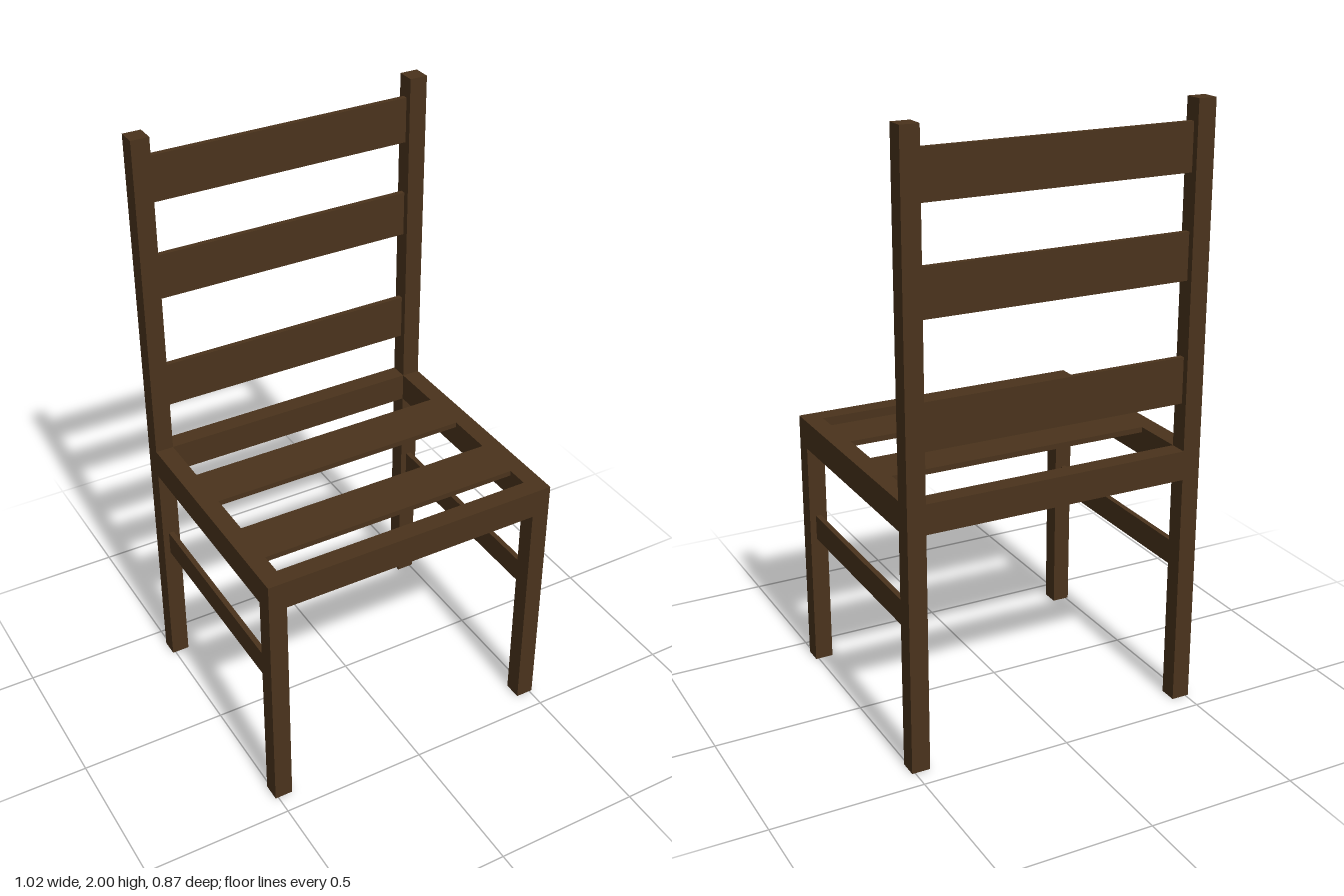
import * as THREE from 'three';

export function createModel() {
  const chair = new THREE.Group();
  chair.name = 'chair';
  const wood = new THREE.MeshStandardMaterial({ color: 0x4a331c, flatShading: true });

  // Box given by its extents along each axis
  function bar(name, [x0, x1], [y0, y1], [z0, z1]) {
    const mesh = new THREE.Mesh(new THREE.BoxGeometry(x1 - x0, y1 - y0, z1 - z0), wood);
    mesh.position.set((x0 + x1) / 2, (y0 + y1) / 2, (z0 + z1) / 2);
    mesh.name = name;
    chair.add(mesh);
  }

  const inX = 0.449, outX = 0.51;      // inner and outer faces of the legs
  const inZ = 0.372, outZ = 0.433;
  const seatY = [0.795, 0.893];
  const span = [-inX, inX];
  const thin = 0.009;                  // half thickness of slats and rungs

  // Legs, side rails and side rungs
  for (const [side, s] of [['left', 1], ['right', -1]]) {
    const legX = s > 0 ? [inX, outX] : [-outX, -inX];
    const midX = s * (inX + outX) / 2;
    bar(side + 'FrontLeg', legX, [0, seatY[1]], [inZ, outZ]);
    bar(side + 'BackPost', legX, [0, 2], [-outZ, -inZ]);
    bar(side + 'SeatRail', legX, seatY, [-inZ, inZ]);
    bar(side + 'Rung', [midX - thin, midX + thin], [0.46, 0.545], [-inZ, inZ]);
  }

  // Front and back seat rails
  bar('frontSeatRail', span, seatY, [inZ, outZ]);
  bar('backSeatRail', span, seatY, [-outZ, -inZ]);

  // Seat slats, flush with the top of the frame
  for (const z of [-0.108, 0.216]) {
    bar('seatSlat', span, [seatY[1] - 2 * thin, seatY[1]], [z - 0.082, z + 0.082]);
  }

  // Back slats, centred in the posts
  const backZ = -(inZ + outZ) / 2;
  for (const y of [1.047, 1.445, 1.778]) {
    bar('backSlat', span, [y, y + 0.153], [backZ - thin, backZ + thin]);
  }
  return chair;
}
